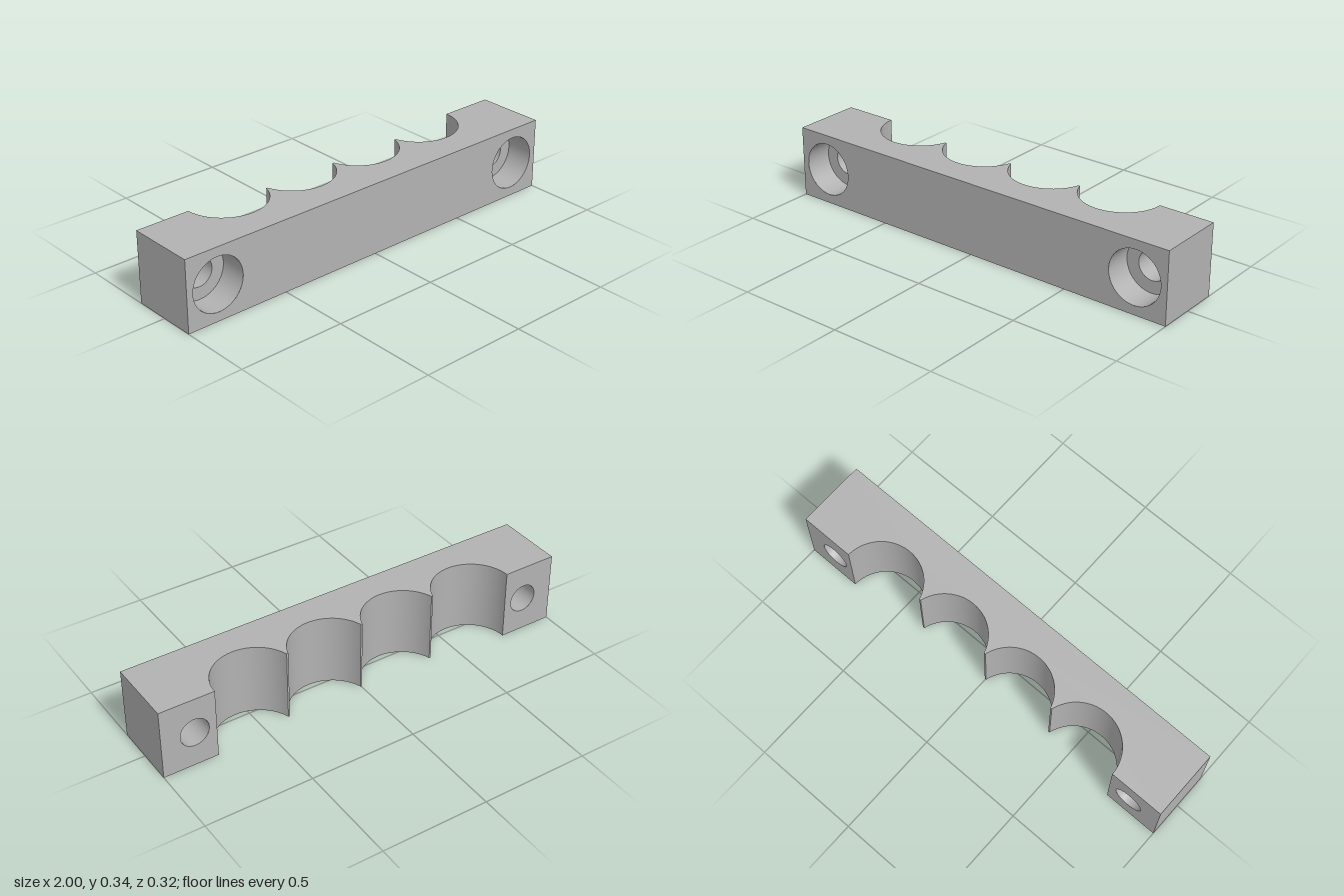
import * as THREE from 'three';

const H = 0.336, D = 0.162;               // height and half depth
const R = 0.188, CZ = -0.164;             // scoop radius and axis depth
const TIP = -0.113;                       // z of the blunt ridges between scoops
const HX = 0.845, HY = H / 2, HOLE = 0.067, BORE = 0.125, FLOOR = 0.032;
const SEG = 48;
const CENTERS = [-0.555, -0.185, 0.185, 0.555];

// Turn a surface inside out, for the walls of cavities
function inward(geo) {
  geo.index.array.reverse();
  const n = geo.attributes.normal;
  for (let i = 0; i < n.array.length; i++) n.array[i] *= -1;
  return geo;
}

function rect(x0, x1, y0, y1) {
  return new THREE.Shape([[x0, y0], [x1, y0], [x1, y1], [x0, y1]].map(p => new THREE.Vector2(...p)));
}

function circle(x, y, r) {
  return new THREE.Path().absarc(x, y, r, 0, Math.PI * 2, true);
}

// Angular range of one scoop, measured from +z
function scoopRange(i) {
  const edge = Math.acos((-D - CZ) / R), ridge = Math.acos((TIP - CZ) / R);
  return [i === 0 ? -edge : -ridge, i === 3 ? edge : ridge];
}

export function createModel() {
  const group = new THREE.Group();
  const grey = new THREE.MeshStandardMaterial({ color: 0xb2b2b2 });
  grey.name = 'grey';
  const add = (name, geo, x = 0, y = 0, z = 0) => {
    const mesh = new THREE.Mesh(geo, grey);
    mesh.name = name;
    mesh.position.set(x, y, z);
    group.add(mesh);
    return mesh;
  };

  // Scalloped outline seen from above, as x and z
  const outline = [[1, -D], [1, D], [-1, D], [-1, -D]];
  CENTERS.forEach((cx, i) => {
    const [a, b] = scoopRange(i);
    for (let k = 0; k <= SEG; k++) {
      const t = a + (b - a) * k / SEG;
      outline.push([cx + R * Math.sin(t), CZ + R * Math.cos(t)]);
    }
  });
  const cap = s => new THREE.ShapeGeometry(new THREE.Shape(outline.map(([x, z]) => new THREE.Vector2(x, s * z))));
  add('topFace', cap(-1).rotateX(-Math.PI / 2), 0, H);
  add('bottomFace', cap(1).rotateX(Math.PI / 2));

  // Scoop walls
  CENTERS.forEach((cx, i) => {
    const [a, b] = scoopRange(i);
    add('scoopWall', inward(new THREE.CylinderGeometry(R, R, H, SEG, 1, true, a, b - a)), cx, H / 2, CZ);
  });

  // Blunt ridges between the scoops
  const tipWidth = 0.37 - 2 * R * Math.sin(scoopRange(1)[1]);
  for (const x of [-0.37, 0, 0.37]) {
    add('ridgeTip', new THREE.PlaneGeometry(tipWidth, H).rotateY(Math.PI), x, H / 2, TIP);
  }

  // Front face with two counterbore openings
  const front = rect(-1, 1, 0, H);
  front.holes.push(circle(-HX, HY, BORE), circle(HX, HY, BORE));
  add('frontFace', new THREE.ShapeGeometry(front, SEG), 0, 0, D);

  const edgeX = 0.555 + R * Math.sin(scoopRange(3)[1]);
  for (const s of [-1, 1]) {
    // End face
    add('endFace', new THREE.PlaneGeometry(2 * D, H).rotateY(s * Math.PI / 2), s, H / 2);

    // Rear mounting face
    const back = s > 0 ? rect(edgeX, 1, 0, H) : rect(-1, -edgeX, 0, H);
    back.holes.push(circle(s * HX, HY, HOLE));
    add('rearFace', inward(new THREE.ShapeGeometry(back, SEG)), 0, 0, -D);

    // Counterbored screw hole
    const tube = (r, depth) => inward(new THREE.CylinderGeometry(r, r, depth, SEG, 1, true).rotateX(Math.PI / 2));
    add('counterboreWall', tube(BORE, D - FLOOR), s * HX, HY, (D + FLOOR) / 2);
    add('counterboreFloor', new THREE.RingGeometry(HOLE, BORE, SEG), s * HX, HY, FLOOR);
    add('screwHoleWall', tube(HOLE, FLOOR + D), s * HX, HY, (FLOOR - D) / 2);
  }
  return group;
}
